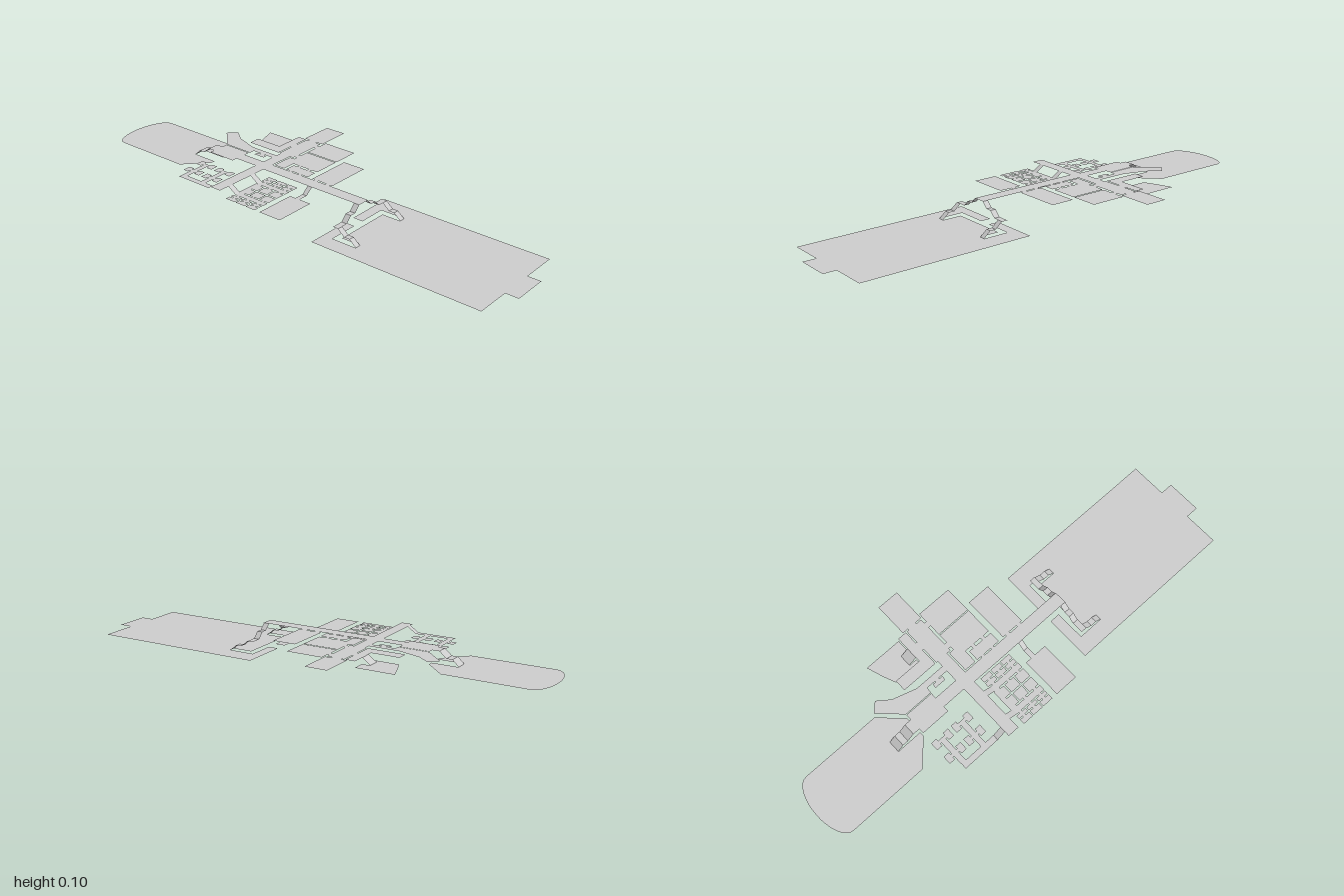
import * as THREE from 'three';

const material = new THREE.MeshStandardMaterial({ color: 0xcccccc, side: THREE.DoubleSide, flatShading: true });
// Floor heights
const BASE = 0, LOW = 0.05, MID = 0.075, HIGH = 0.1;

export function createModel() {
  const model = new THREE.Group();

  function add(name, geometry) {
    const mesh = new THREE.Mesh(geometry, material);
    mesh.name = name;
    model.add(mesh);
    return mesh;
  }
  // Flat floor from a shape drawn in (x, -z)
  function floorShape(name, shape, y) {
    const g = new THREE.ShapeGeometry(shape, 8);
    g.rotateX(-Math.PI / 2);
    g.translate(0, y, 0);
    return add(name, g);
  }
  // Flat floor from [x, z] corners
  function floor(name, y, corners) {
    return floorShape(name, new THREE.Shape(corners.map(([x, z]) => new THREE.Vector2(x, -z))), y);
  }
  function rect(name, y, x0, x1, z0, z1) {
    return floor(name, y, [[x0, z0], [x1, z0], [x1, z1], [x0, z1]]);
  }
  // Sloped floor: height runs from ya to yb along 'x' or 'z'
  function ramp(name, axis, x0, x1, z0, z1, ya, yb) {
    const g = new THREE.PlaneGeometry(x1 - x0, z1 - z0);
    g.rotateX(-Math.PI / 2);
    g.translate((x0 + x1) / 2, 0, (z0 + z1) / 2);
    const p = g.attributes.position;
    for (let i = 0; i < p.count; i++) {
      const t = axis === 'x' ? (p.getX(i) - x0) / (x1 - x0) : (p.getZ(i) - z0) / (z1 - z0);
      p.setY(i, ya + (yb - ya) * t);
    }
    g.computeVertexNormals();
    return add(name, g);
  }

  // Great hall, cut out around the stairs
  floor('greatHall', BASE, [
    [0.2, -0.145], [0.945, -0.145], [0.945, 0.01], [1, 0.01], [1, 0.16], [0.945, 0.16], [0.945, 0.31],
    [0.2, 0.31], [0.2, 0.11], [0.245, 0.11], [0.245, 0.24], [0.355, 0.24], [0.355, 0.215], [0.27, 0.215],
    [0.27, -0.035], [0.355, -0.035], [0.355, -0.06], [0.245, -0.06], [0.245, 0.06], [0.2, 0.06]]);

  // Twin stairs down into the great hall, mirrored about the corridor
  const mid = 0.0885;
  for (const s of [1, -1]) {
    const strip = (name, a, b, ya, yb) => {
      const z = [mid + s * a, mid + s * b];
      if (s > 0) ramp(name, 'z', 0.245, 0.27, z[0], z[1], ya, yb);
      else ramp(name, 'z', 0.245, 0.27, z[1], z[0], yb, ya);
    };
    strip('stairUpperRamp', 0.025, 0.05, HIGH, MID);
    strip('stairLanding', 0.05, 0.075, MID, MID);
    strip('stairLowerRamp', 0.075, 0.1, MID, LOW);
    strip('stairCorner', 0.1, 0.15, LOW, LOW);
    const z0 = s > 0 ? 0.215 : -0.06, z1 = z0 + 0.025;
    ramp('hallUpperRamp', 'x', 0.27, 0.3, z0, z1, LOW, 0.025);
    rect('hallLanding', 0.025, 0.3, 0.325, z0, z1);
    ramp('hallLowerRamp', 'x', 0.325, 0.355, z0, z1, 0.025, BASE);
  }

  // Round-ended hall
  const round = new THREE.Shape();
  round.moveTo(-0.59, 0.055);
  [[-0.5, 0.035], [-0.5, 0.06], [-0.612, 0.06], [-0.612, 0.11], [-0.5, 0.11], [-0.5, 0.13], [-0.59, 0.225],
    [-0.935, 0.225]].forEach(([x, z]) => round.lineTo(x, -z));
  round.bezierCurveTo(-0.975, -0.225, -1, -0.155, -1, -0.085);
  round.bezierCurveTo(-1, -0.015, -0.975, 0.055, -0.935, 0.055);
  round.closePath();
  floorShape('roundHall', round, LOW);
  ramp('roundHallLowerRamp', 'x', -0.612, -0.585, 0.06, 0.11, LOW, MID);
  rect('roundHallLanding', MID, -0.585, -0.56, 0.06, 0.11);
  ramp('roundHallUpperRamp', 'x', -0.56, -0.53, 0.06, 0.11, MID, HIGH);
  rect('roundHallPassage', HIGH, -0.53, -0.5, 0.06, 0.11);

  // Corridors and lobby
  rect('lobby', HIGH, -0.5, -0.372, 0.035, 0.132);
  rect('mainCorridorWest', HIGH, -0.372, -0.268, 0.06, 0.108);
  rect('mainCorridorEast', HIGH, -0.218, 0.27, 0.06, 0.1135);
  rect('crossCorridor', HIGH, -0.268, -0.218, -0.045, 0.362);
  rect('crossCorridorBack', HIGH, -0.275, -0.2, -0.22, -0.045);
  rect('backRoom', HIGH, -0.29, -0.195, -0.372, -0.225);
  rect('backDoor', HIGH, -0.265, -0.225, -0.225, -0.22);
  floor('bentPassage', HIGH, [[-0.552, -0.09], [-0.5, -0.05], [-0.4, -0.018], [-0.268, -0.018], [-0.268, 0.008],
    [-0.37, 0.008], [-0.37, 0.032], [-0.5, 0.032], [-0.588, -0.055]]);
  rect('closet', HIGH, -0.345, -0.295, 0.012, 0.03);
  rect('closetDoor', HIGH, -0.33, -0.31, 0.008, 0.012);

  // Slanted room at the back, with its ramp
  floor('slantedRoom', MID, [[-0.485, -0.22], [-0.32, -0.22], [-0.32, -0.165], [-0.355, -0.165], [-0.355, -0.115],
    [-0.32, -0.115], [-0.32, -0.098], [-0.44, -0.098], [-0.462, -0.15]]);
  ramp('slantedRoomRamp', 'x', -0.355, -0.32, -0.165, -0.115, MID, HIGH);
  rect('slantedRoomHall', HIGH, -0.32, -0.28, -0.22, -0.095);
  rect('slantedRoomSide', HIGH, -0.44, -0.28, -0.095, -0.045);
  rect('slantedRoomDoor', HIGH, -0.28, -0.275, -0.16, -0.12);

  // Back rooms beside the cross corridor
  rect('backOffice', HIGH, -0.19, -0.036, -0.242, -0.125);
  rect('middleOffice', HIGH, -0.19, -0.036, -0.121, -0.003);
  rect('frontOffice', HIGH, -0.15, -0.036, 0.008, 0.055);
  rect('sideOffice', HIGH, -0.212, -0.16, -0.04, 0.055);
  for (const z of [-0.2, -0.08]) rect('officeDoor', HIGH, -0.2, -0.19, z, z + 0.025);
  for (const x of [-0.13, -0.08]) {
    rect('frontOfficeDoor', HIGH, x, x + 0.015, 0.055, 0.06);
    rect('officeLinkDoor', HIGH, x, x + 0.015, -0.003, 0.008);
  }
  rect('eastOffice', HIGH, -0.012, 0.09, -0.145, 0.054);
  for (const x of [0.0, 0.06]) rect('eastOfficeDoor', HIGH, x, x + 0.02, 0.054, 0.06);

  // Sunken front room
  ramp('frontRoomRamp', 'z', 0.015, 0.036, 0.1135, 0.145, HIGH, MID);
  rect('frontRoomPassage', MID, 0.015, 0.036, 0.145, 0.187);
  rect('frontRoomNear', MID, -0.012, 0.09, 0.187, 0.26);
  rect('frontRoomFar', MID, -0.012, 0.09, 0.26, 0.362);

  // Sunken block of small cells with two aisles
  for (const z of [0.165, 0.29]) {
    ramp('cellRamp', 'x', -0.218, -0.18, z, z + 0.025, HIGH, MID);
    rect('cellAisle', MID, -0.18, -0.036, z, z + 0.025);
  }
  rect('cellLink', MID, -0.188, -0.168, 0.19, 0.29);
  for (const [z0, z1] of [[0.115, 0.136], [0.141, 0.16], [0.196, 0.237], [0.243, 0.284], [0.32, 0.335], [0.34, 0.362]]) {
    for (let i = 0; i < 3; i++) {
      const x = -0.188 + i * 0.052;
      rect('cell', MID, x, x + 0.047, z0, z1);
    }
  }
  for (let i = 0; i < 3; i++) {
    const x = -0.172 + i * 0.052;
    for (const [z0, z1] of [[0.136, 0.141], [0.16, 0.165], [0.19, 0.196], [0.284, 0.29], [0.315, 0.32], [0.335, 0.34]]) {
      rect('cellDoor', MID, x, x + 0.014, z0, z1);
    }
  }

  // Sunken booths on two stems
  ramp('boothRamp', 'x', -0.305, -0.268, 0.315, 0.34, MID, HIGH);
  rect('boothPassage', MID, -0.47, -0.305, 0.315, 0.34);
  for (const x of [-0.459, -0.358]) {
    rect('boothStem', MID, x - 0.012, x + 0.012, 0.195, 0.315);
    for (const z of [0.195, 0.267]) {
      rect('boothBar', MID, x - 0.02, x + 0.02, z - 0.007, z + 0.007);
      for (const s of [-1, 1]) {
        const c = x + s * 0.03;
        rect('booth', MID, c - 0.013, c + 0.013, z - 0.018, z + 0.018);
      }
    }
  }
  return model;
}
